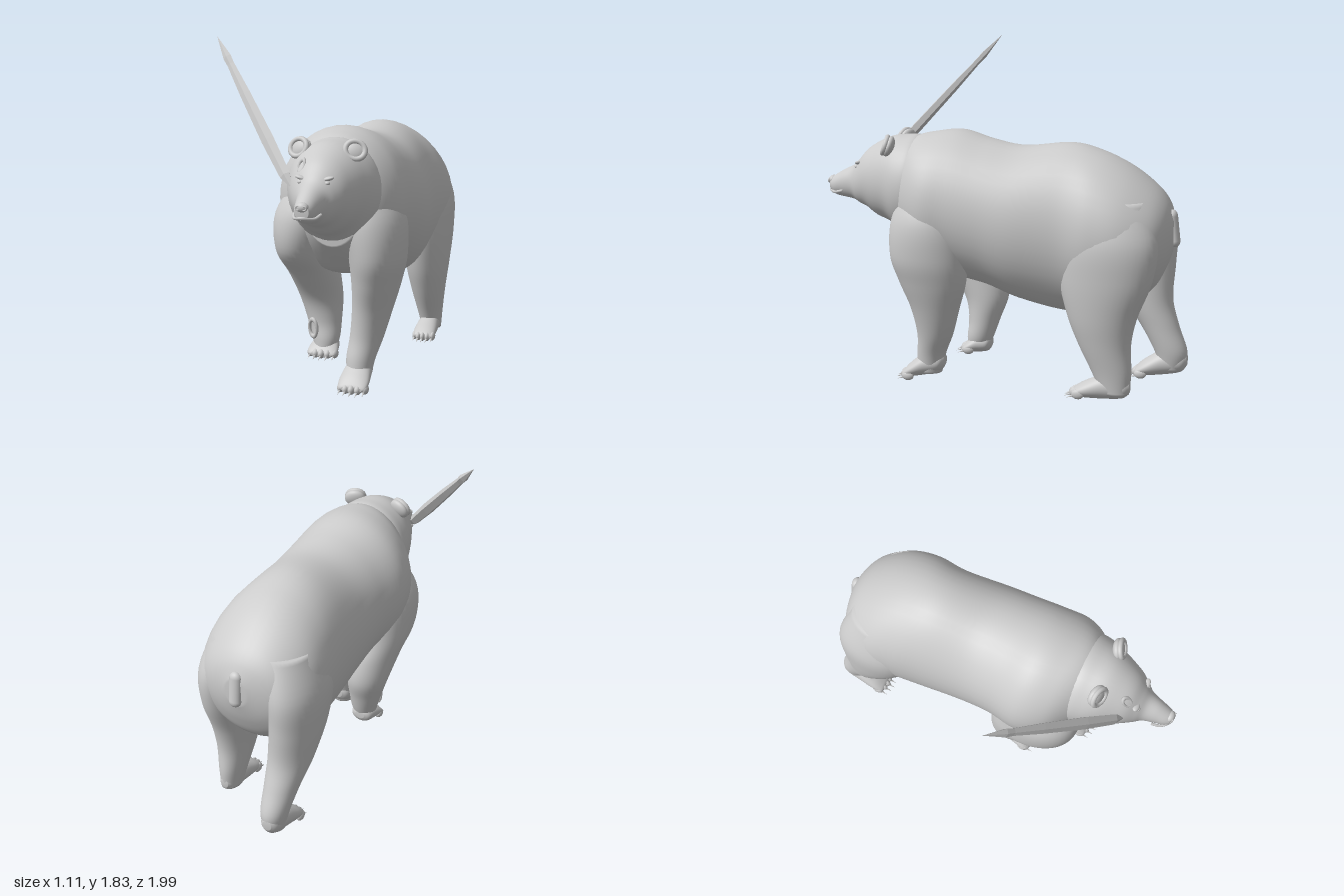
import * as THREE from 'three';

const mat = new THREE.MeshStandardMaterial({ color: 0xcccccc });
const MID = 0.19; // the animal's centre line

function add(parent, name, geo, pos = [0, 0, 0], scale = [1, 1, 1], rot = [0, 0, 0], m = mat) {
  const mesh = new THREE.Mesh(geo, m);
  mesh.name = name;
  mesh.position.set(...pos);
  mesh.scale.set(...scale);
  mesh.rotation.set(...rot);
  parent.add(mesh);
  return mesh;
}

// Smooth value between rows of a section list
function sample(rows, t) {
  const i = Math.min(Math.floor(t), rows.length - 2), f = t - i;
  const row = (k) => rows[Math.max(0, Math.min(rows.length - 1, k))];
  return rows[0].map((_, c) => {
    const a = row(i - 1)[c], b = row(i)[c], d = row(i + 1)[c], e = row(i + 2)[c];
    const m0 = (d - a) / 2, m1 = (e - b) / 2;
    return b + f * m0 + f * f * (3 * (d - b) - 2 * m0 - m1) + f * f * f * (2 * (b - d) + m0 + m1);
  });
}

// Skin over elliptical rings; place(section, cos, sin) gives a point
function loft(rows, place, around = 40, steps = 6) {
  const pos = [], idx = [], n = (rows.length - 1) * steps;
  for (let i = -1; i <= n + 1; i++) {
    const s = sample(rows, Math.max(0, Math.min(n, i)) / steps);
    const k = i < 0 || i > n ? 0 : 1; // closed ends
    for (let j = 0; j < around; j++) {
      const a = (j / around) * Math.PI * 2;
      pos.push(...place(s, k * Math.cos(a), k * Math.sin(a)));
    }
  }
  for (let i = 0; i < n + 2; i++) {
    for (let j = 0; j < around; j++) {
      const a = i * around + j, b = i * around + (j + 1) % around;
      idx.push(a, b, a + around, b, b + around, a + around);
    }
  }
  const g = new THREE.BufferGeometry();
  g.setAttribute('position', new THREE.Float32BufferAttribute(pos, 3));
  g.setIndex(idx);
  g.computeVertexNormals();
  return g;
}

// Sections [z, top, bottom, x centre, half width]
const loftZ = (rows) => loft(rows, ([z, t, b, x, r], c, s) => [x + r * c, (t + b) / 2 + s * (t - b) / 2, z]);
// Sections from the ground up [y, x centre, z centre, half width, half depth]
const loftY = (rows) => loft(rows, ([y, x, z, rx, rz], c, s) => [x + rx * s, y, z + rz * c]);

// Paw with toes and claws, from heel z to toe z
function paw(parent, name, x, heel, toe, yHeel, yToe, h, w) {
  const g = new THREE.Group();
  g.name = name;
  parent.add(g);
  const L = toe - heel;
  const row = (f, top, bottom, r) => {
    const b = yHeel + (yToe - yHeel) * f;
    return [heel + L * f, b + h * top, b + h * bottom, x, w * r];
  };
  add(g, 'foot', loftZ([row(0, 0.8, 0.35, 0.35), row(0.12, 1, 0.08, 0.75), row(0.45, 1.05, 0, 0.95),
    row(0.75, 0.75, 0, 1.05), row(0.92, 0.48, 0.05, 0.95), row(0.97, 0.35, 0.12, 0.75)]));
  const ball = new THREE.SphereGeometry(1, 14, 10);
  const claw = new THREE.ConeGeometry(0.008, 0.05, 8);
  for (let i = -2; i <= 2; i++) {
    const tx = x + i * w * 0.42, tz = toe - 0.02 - 0.006 * i * i;
    add(g, 'toe', ball, [tx, yToe + 0.026, tz], [w * 0.25, 0.026, 0.034]);
    add(g, 'claw', claw, [tx, yToe + 0.012, tz + 0.04], [1, 1, 1], [1.95, 0, 0]);
  }
}

export function createModel() {
  const bear = new THREE.Group();
  bear.name = 'bear';

  add(bear, 'body', loftZ([
    [-0.94, 0.99, 0.84, 0.19, 0.06], [-0.9, 1.08, 0.72, 0.18, 0.2], [-0.83, 1.16, 0.6, 0.18, 0.29],
    [-0.7, 1.255, 0.52, 0.185, 0.345], [-0.55, 1.325, 0.47, 0.19, 0.35], [-0.38, 1.36, 0.455, 0.185, 0.33],
    [-0.13, 1.335, 0.51, 0.2, 0.335], [0.05, 1.36, 0.57, 0.19, 0.34], [0.22, 1.4, 0.6, 0.17, 0.355],
    [0.36, 1.39, 0.64, 0.185, 0.335], [0.47, 1.36, 0.73, 0.2, 0.26], [0.56, 1.28, 0.82, 0.2, 0.16]]));

  // Head and muzzle, with the cheek ruff overlapping the neck
  const head = new THREE.Group();
  head.name = 'head';
  bear.add(head);
  add(head, 'skull', loftZ([
    [0.38, 1.32, 0.84, 0.19, 0.2], [0.45, 1.365, 0.82, 0.195, 0.245], [0.53, 1.365, 0.83, 0.195, 0.24],
    [0.61, 1.355, 0.88, 0.19, 0.21], [0.69, 1.32, 0.91, MID, 0.175], [0.75, 1.28, 0.95, MID, 0.145],
    [0.8, 1.225, 0.97, MID, 0.11], [0.84, 1.185, 0.99, MID, 0.08], [0.9, 1.155, 1.0, MID, 0.062],
    [0.95, 1.125, 1.01, MID, 0.05], [0.98, 1.105, 1.03, MID, 0.035]]));
  const ball = new THREE.SphereGeometry(1, 24, 16);
  add(head, 'nose', ball, [MID, 1.092, 0.972], [0.033, 0.025, 0.024]);
  // Mouth line around the muzzle
  const lip = new THREE.CatmullRomCurve3([[-0.068, 1.045, 0.89], [-0.05, 1.032, 0.945], [0, 1.04, 0.985],
    [0.05, 1.032, 0.945], [0.068, 1.045, 0.89]].map(([x, y, z]) => new THREE.Vector3(MID + x, y, z)));
  add(head, 'lip', new THREE.TubeGeometry(lip, 30, 0.008, 8));

  for (const s of [-1, 1]) {
    add(head, 'nostril', new THREE.TorusGeometry(0.01, 0.004, 8, 14), [MID + s * 0.017, 1.09, 0.99]);
    add(head, 'eye', ball, [MID + s * 0.07, 1.185, 0.802], [0.014, 0.01, 0.012]);
    add(head, 'brow', ball, [MID + s * 0.07, 1.205, 0.79], [0.032, 0.011, 0.018], [0, 0, s * 0.25]);
    // Cupped ear: a thin shell with a raised rim
    const ear = new THREE.Group();
    ear.name = s > 0 ? 'leftEar' : 'rightEar';
    ear.position.set(MID + s * 0.147, 1.322, 0.595);
    ear.rotation.set(-0.35, s * 0.3, -s * 0.25);
    head.add(ear);
    add(ear, 'earBack', ball, [0, 0, -0.012], [0.062, 0.056, 0.03]);
    add(ear, 'earRim', new THREE.TorusGeometry(0.047, 0.014, 10, 28), [0, 0, 0.008], [1.05, 0.95, 1]);
  }

  // Legs, each a tapered skin from ankle to shoulder or hip
  add(bear, 'frontLeftLeg', loftY([[0.07, 0.295, 0.38, 0.06, 0.07], [0.18, 0.3, 0.365, 0.077, 0.08],
    [0.3, 0.325, 0.335, 0.09, 0.1], [0.45, 0.352, 0.325, 0.107, 0.135], [0.6, 0.375, 0.33, 0.128, 0.185],
    [0.75, 0.385, 0.345, 0.15, 0.215], [0.95, 0.355, 0.34, 0.17, 0.215], [1.15, 0.3, 0.32, 0.12, 0.15]]));
  paw(bear, 'frontLeftPaw', 0.295, 0.29, 0.53, 0.07, 0.025, 0.12, 0.078);

  add(bear, 'frontRightLeg', loftY([[0.15, 0.04, 0.18, 0.055, 0.06], [0.22, 0.04, 0.165, 0.075, 0.075],
    [0.32, 0.025, 0.145, 0.095, 0.088], [0.45, 0.005, 0.14, 0.118, 0.125], [0.6, -0.015, 0.2, 0.135, 0.175],
    [0.75, -0.035, 0.29, 0.15, 0.22], [0.95, 0.0, 0.32, 0.175, 0.215], [1.15, 0.07, 0.3, 0.12, 0.15]]));
  paw(bear, 'frontRightPaw', 0.04, 0.1, 0.265, 0.125, 0.12, 0.1, 0.08);

  add(bear, 'hindLeftLeg', loftY([[0.09, 0.42, -0.685, 0.055, 0.075], [0.2, 0.415, -0.665, 0.072, 0.105],
    [0.35, 0.412, -0.625, 0.098, 0.14], [0.5, 0.41, -0.61, 0.122, 0.185], [0.7, 0.41, -0.625, 0.138, 0.245],
    [0.9, 0.395, -0.635, 0.148, 0.255], [1.1, 0.34, -0.63, 0.13, 0.19]]));
  paw(bear, 'hindLeftPaw', 0.42, -0.765, -0.455, 0.058, 0.055, 0.12, 0.062);

  add(bear, 'hindRightLeg', loftY([[0.11, 0.0, -0.91, 0.055, 0.065], [0.21, 0.0, -0.905, 0.075, 0.09],
    [0.35, -0.01, -0.84, 0.095, 0.105], [0.5, -0.025, -0.765, 0.12, 0.14], [0.7, -0.04, -0.705, 0.138, 0.21],
    [0.9, -0.03, -0.68, 0.148, 0.24], [1.1, 0.03, -0.66, 0.13, 0.19]]));
  paw(bear, 'hindRightPaw', 0.0, -0.995, -0.705, 0.09, 0.055, 0.13, 0.072);

  add(bear, 'tail', new THREE.CapsuleGeometry(0.035, 0.13, 8, 18), [MID, 0.935, -0.935], [1, 1, 0.8], [0.12, 0, 0]);

  // Wounds on the brow and the raised foreleg
  add(head, 'browWound', new THREE.TorusGeometry(0.026, 0.009, 8, 18), [0.105, 1.255, 0.737], [0.8, 1.3, 1], [-0.6, -0.5, 0]);
  add(bear, 'legWound', new THREE.TorusGeometry(0.035, 0.01, 8, 18), [-0.015, 0.28, 0.225], [0.8, 1.4, 1], [0.1, -0.45, 0]);

  // Splintered shaft lodged in the side of the head
  const base = new THREE.Vector3(0.06, 1.14, 0.755), tip = new THREE.Vector3(-0.56, 1.85, 0.22);
  const dir = tip.clone().sub(base), len = dir.length();
  const profile = [[0, 0], [0.03, 0.08], [0.036, 0.3], [0.03, 0.6], [0.021, 0.8], [0.024, 0.85], [0, 1]]
    .map(([r, f]) => new THREE.Vector2(r, f * len));
  const flat = mat.clone();
  flat.flatShading = true;
  const shaft = add(bear, 'splinter', new THREE.LatheGeometry(profile, 5), base.toArray(), [1, 1, 0.75], [0, 0, 0], flat);
  shaft.quaternion.setFromUnitVectors(new THREE.Vector3(0, 1, 0), dir.normalize());

  return bear;
}
